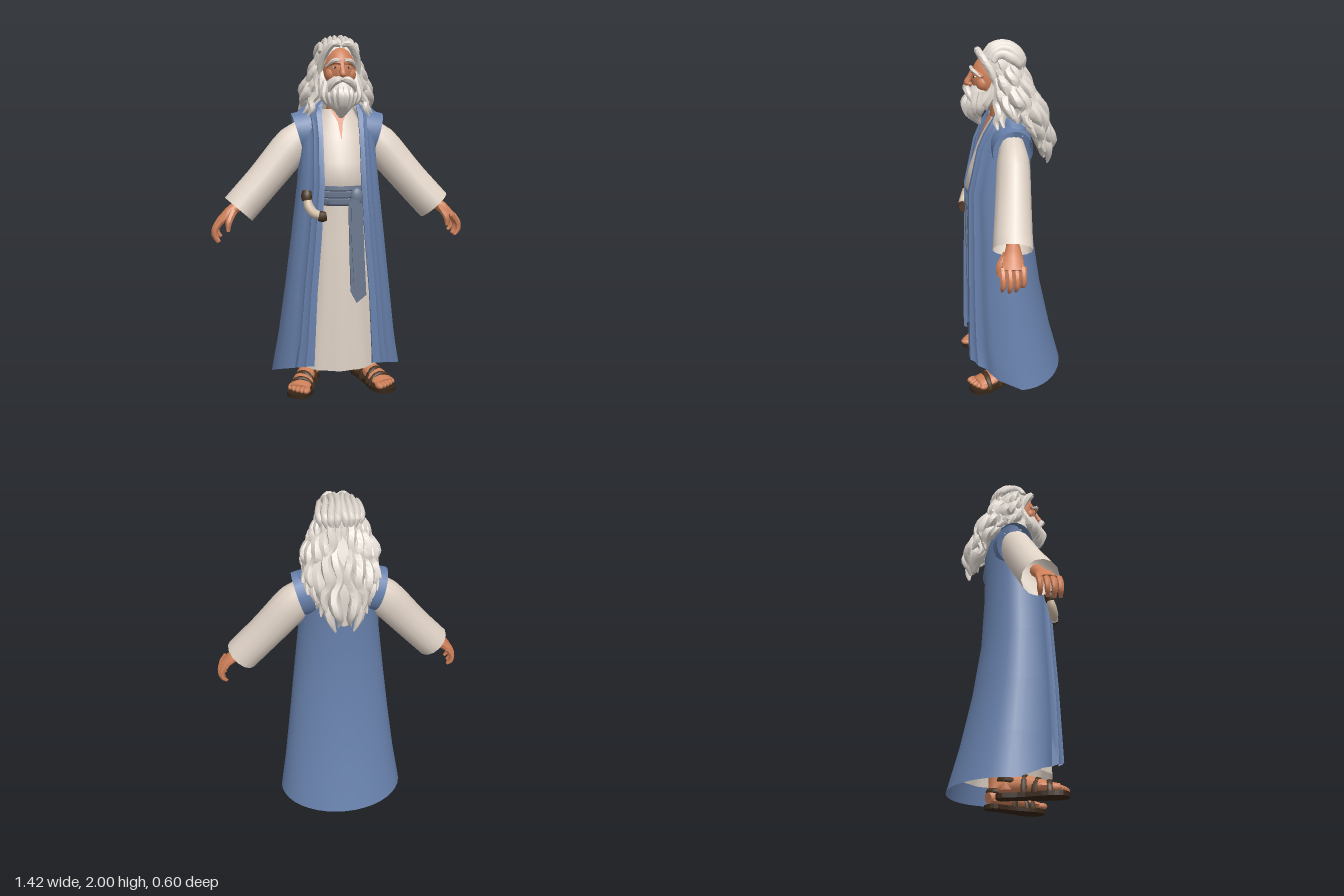
import * as THREE from 'three';
import { toCreasedNormals } from 'three/addons/utils/BufferGeometryUtils.js';

const V = (x, y, z) => new THREE.Vector3(x, y, z);
const lerp = THREE.MathUtils.lerp;
const mat = (name, color, open) => {
  const m = new THREE.MeshStandardMaterial({ color });
  m.name = name;
  if (open) m.side = THREE.DoubleSide;
  return m;
};

// Value at u (0 to 1) along an evenly spaced list
const at = (list, u) => {
  const f = u * (list.length - 1), i = Math.min(Math.floor(f), list.length - 2);
  return lerp(list[i], list[i + 1], f - i);
};

// Skin a list of rings of points
function loft(rings, closed = true, caps = false) {
  const n = rings[0].length, pos = [], idx = [];
  rings.forEach(r => r.forEach(p => pos.push(p.x, p.y, p.z)));
  for (let i = 0; i < rings.length - 1; i++)
    for (let j = 0; j < (closed ? n : n - 1); j++) {
      const k = (j + 1) % n, a = i * n + j, b = i * n + k, c = a + n, d = b + n;
      idx.push(a, b, c, b, d, c);
    }
  if (caps) [0, rings.length - 1].forEach(i => {
    const c = rings[i].reduce((s, p) => s.add(p), V(0, 0, 0)).divideScalar(n), ci = pos.length / 3;
    pos.push(c.x, c.y, c.z);
    for (let j = 0; j < n; j++) {
      const a = i * n + j, b = i * n + (j + 1) % n;
      i ? idx.push(ci, a, b) : idx.push(ci, b, a);
    }
  });
  const g = new THREE.BufferGeometry();
  g.setAttribute('position', new THREE.Float32BufferAttribute(pos, 3));
  g.setIndex(idx);
  return toCreasedNormals(g, 0.85);
}

// Tapered tube along a curve; ra and rb are the two radii at each point
function tube(pts, ra, { rb = ra, ref = V(0, 0, 1), n = 12, m = 8, caps = true } = {}) {
  const curve = new THREE.CatmullRomCurve3(pts.map(p => V(...p))), rings = [];
  for (let i = 0; i <= n; i++) {
    const u = i / n, c = curve.getPoint(u), t = curve.getTangent(u);
    const a = t.clone().cross(ref).normalize(), b = t.clone().cross(a), ring = [];
    for (let j = 0; j < m; j++) {
      const q = j / m * Math.PI * 2;
      ring.push(c.clone().addScaledVector(a, at(ra, u) * Math.cos(q)).addScaledVector(b, at(rb, u) * Math.sin(q)));
    }
    rings.push(ring);
  }
  return loft(rings, true, caps);
}

// Oval ring for body cloth: height, half width, front z, back z, fold depth
function oval([y, rx, zf, zb, fold = 0], n = 48) {
  return Array.from({ length: n }, (_, j) => {
    const q = j / n * Math.PI * 2, f = 1 + fold * Math.cos(12 * q + 0.6);
    return V(rx * f * Math.sin(q), y, (zf + zb) / 2 + (zf - zb) / 2 * f * Math.cos(q));
  });
}

// Open ring for the coat, with stepped folds in front
function coatRing([y, xi, zf, xo, zb], hem) {
  const w = xo - xi, s = w / 0.22, half = [];
  [[0, .022], [0, 0], [.22, .006], [.26, .03], [.42, .046], [.46, .088], [.62, .11], [.86, .155]]
    .forEach(([u, d]) => half.push([xi + u * w, zf - d * s]));
  for (let k = 0; k <= 10; k++) {
    const q = k / 10 * Math.PI / 2, zc = lerp(zf, zb, 0.5);
    half.push([xo * Math.cos(q), zc + (zb - zc) * Math.sin(q)]);
  }
  const all = [...half, ...half.slice(0, -1).reverse().map(([x, z]) => [-x, z])];
  return all.map(([x, z]) => V(x, hem ? 0.06 + 0.44 * Math.max(0, z) : y, z));
}

export function createModel() {
  const root = new THREE.Group();
  root.name = 'robedElder';
  const blue = mat('coatBlue', 0x6780ab, true), cream = mat('tunicCream', 0xdfd2c6, true);
  const hair = mat('hairGrey', 0xdfd7cf), skin = mat('skin', 0xce8059), sash = mat('sashBlueGrey', 0x6b788f);
  const leather = mat('darkLeather', 0x47321f), sole = mat('sole', 0x362517), horn = mat('hornIvory', 0xd3c0a8);
  const dark = mat('pupilDark', 0x2a1a14);
  const add = (name, geo, m, parent = root) => {
    const o = new THREE.Mesh(geo, m);
    o.name = name;
    parent.add(o);
    return o;
  };
  const ball = (name, m, [x, y, z], [a, b, c], parent = root, n = 16) => {
    const o = add(name, new THREE.SphereGeometry(1, n, Math.round(n * 0.7)), m, parent);
    o.position.set(x, y, z);
    o.scale.set(a, b, c);
    return o;
  };

  // Tunic, coat and belt
  add('tunic', loft([[.14, .265, .268, -.215, .018], [.35, .235, .264, -.16, .016], [.6, .2, .258, -.11, .014],
    [.9, .175, .245, -.07, .012], [1.08, .165, .235, -.06], [1.15, .165, .235, -.06], [1.2, .175, .268, -.07, .006],
    [1.31, .175, .242, -.07, .006], [1.45, .165, .19, -.06], [1.53, .125, .15, -.04], [1.6, .085, .12, -.01]].map(r => oval(r))), cream);
  add('coat', loft([[.06, .165, .287, .385, -.29], [.3, .16, .286, .345, -.225], [.6, .145, .281, .305, -.16],
    [.9, .12, .272, .268, -.115], [1.2, .1, .264, .232, -.1], [1.45, .1, .207, .212, -.1], [1.53, .1, .172, .222, -.1],
    [1.575, .1, .145, .235, -.09], [1.615, .095, .118, .19, -.06], [1.645, .085, .1, .1, -.02]]
    .map((r, i) => coatRing(r, i === 0)), false), blue);
  add('belt', loft([[1.08, .17, .245], [1.09, .174, .259], [1.118, .174, .261], [1.123, .17, .254], [1.13, .176, .265],
    [1.157, .176, .267], [1.162, .17, .256], [1.168, .174, .266], [1.19, .173, .264], [1.196, .165, .245]]
    .map(([y, x, z]) => oval([y, x, z, -.07]))), sash);
  ball('beltKnot', sash, [.075, 1.13, .258], [.036, .05, .022]);
  const tail = (name, pts, z, d) => {
    const shape = new THREE.Shape(pts.map(p => new THREE.Vector2(...p)));
    add(name, new THREE.ExtrudeGeometry(shape, { depth: d, bevelEnabled: false }), sash).position.z = z;
  };
  tail('sashTailBack', [[.028, 1.1], [.042, .6], [.075, .535], [.13, .58], [.118, .8], [.105, 1.1]], .256, .014);
  tail('sashTailFront', [[.04, 1.12], [.045, .9], [.06, .62], [.09, .6], [.085, .85], [.085, 1.12]], .268, .01);
  const slit = new THREE.BufferGeometry();
  slit.setAttribute('position', new THREE.Float32BufferAttribute(
    [-.05, 1.6, .124, -.014, 1.53, .16, 0, 1.43, .204, .014, 1.53, .16, .05, 1.6, .124], 3));
  slit.setIndex([0, 1, 4, 1, 3, 4, 1, 2, 3]);
  slit.computeVertexNormals();
  add('neckOpening', slit, skin);
  add('neck', tube([[0, 1.52, .05], [0, 1.62, .06], [0, 1.76, .08]], [.07, .062, .06]), skin);

  // Horn at the right hip
  add('horn', tube([[-.195, 1.14, .237], [-.187, 1.085, .252], [-.157, 1.045, .27], [-.11, 1.033, .277]], [.021, .026, .026, .021]), horn);
  add('hornTopCap', tube([[-.194, 1.115, .24], [-.197, 1.14, .235], [-.194, 1.165, .228]], [.027, .03, .024], { n: 5 }), leather);
  add('hornEndCap', tube([[-.135, 1.034, .275], [-.115, 1.03, .278], [-.095, 1.032, .278]], [.027, .03, .024], { n: 5 }), leather);

  for (const s of [1, -1]) {
    const side = s > 0 ? 'left' : 'right';
    const S = pts => pts.map(([x, y, z]) => [s * x, y, z]);

    // Sleeve, coat shoulder and hand
    add(side + 'Sleeve', tube(S([[.15, 1.5, .028], [.25, 1.4, .035], [.41, 1.215, .06], [.56, 1.05, .085]]),
      [.07, .108, .1, .1], { rb: [.06, .088, .095, .103], m: 14, n: 10, caps: false }), cream);
    const capRings = [[.14, 0, 1.475, .13, .112], [.2, .02, 1.46, .125, .11], [.225, .035, 1.455, .12, .107]].map(([x, dx, y, h, d]) =>
      Array.from({ length: 21 }, (_, j) => {
        const q = (j / 20 - 0.5) * Math.PI * 1.7;
        return V(s * (x + dx * Math.cos(q)), y + h * Math.cos(q), .03 + d * Math.sin(q));
      }));
    add(side + 'CoatShoulder', loft(capRings, false), blue);
    add(side + 'Palm', tube(S([[.5, 1.125, .08], [.56, 1.075, .085], [.61, 1.035, .092], [.668, .985, .1]]),
      [.034, .032, .032, .022], { rb: [.036, .034, .05, .058], m: 10 }), skin);
    for (let i = 0; i < 4; i++) {
      const z = .05 + .034 * i, d = [.018, .004, 0, .008][i];
      add(side + 'Finger', tube(S([[.655, 1, z], [.69 - d / 2, .955, z], [.697 - d, .915, z], [.677 - d, .875 + d, z + .004]]),
        [.019, .017, .015, .009], { m: 7 }), skin);
    }
    add(side + 'Thumb', tube(S([[.59, 1.045, .12], [.615, .99, .16], [.62, .94, .165]]), [.022, .018, .01], { m: 7 }), skin);

    // Foot with sandal
    const foot = new THREE.Group();
    foot.name = side + 'Foot';
    foot.position.set(s * .153, 0, 0);
    foot.rotation.y = s * .38;
    foot.scale.set(1.16, 1, 1.1);
    root.add(foot);
    const outline = new THREE.Shape();
    outline.moveTo(0, -.058);
    outline.splineThru([[.04, -.035], [.042, .07], [.062, .2], [.045, .265], [0, .282], [-.05, .26], [-.062, .19], [-.042, .07], [-.04, -.035], [0, -.058]]
      .map(p => new THREE.Vector2(...p)));
    const soleGeo = new THREE.ExtrudeGeometry(outline, { depth: .024, bevelEnabled: false, curveSegments: 3 });
    soleGeo.rotateX(Math.PI / 2).translate(0, .024, 0);
    add('sole', soleGeo, sole, foot);
    add('footBody', tube([[0, .058, -.045], [0, .07, .01], [0, .067, .09], [0, .052, .17], [0, .045, .24]],
      [.03, .04, .046, .054, .052], { rb: [.03, .05, .048, .034, .022], ref: V(0, 1, 0), m: 10 }), skin, foot);
    add('ankle', tube([[0, .04, 0], [0, .14, 0], [0, .34, .01]], [.042, .036, .05]), skin, foot);
    for (let i = 0; i < 5; i++)
      ball('toe', skin, [s * (-.044 + i * .022), .041, .25 - i * i * .0018], [i ? .0135 : .018, .018, .03], foot, 8);
    [[.08, .05, 1.85, 0], [.14, .055, 1.4, .22], [.19, .058, 1.12, -.15]].forEach(([z, r, h, turn]) => {
      const o = add('strap', new THREE.TorusGeometry(r, .008, 6, 14, Math.PI), leather, foot);
      o.position.set(0, .018, z);
      o.scale.set(1, h, 1.9);
      o.rotation.y = turn * s;
    });
    const ankleStrap = add('ankleStrap', new THREE.TorusGeometry(.043, .008, 6, 18), leather, foot);
    ankleStrap.position.set(0, .09, 0);
    ankleStrap.rotation.x = Math.PI / 2 + .2;
    ankleStrap.scale.z = 1.8;

    // Face details
    ball('cheek', skin, [s * .046, 1.785, .165], [.038, .042, .034]);
    ball('eye', hair, [s * .036, 1.82, .2], [.014, .006, .012], root, 10);
    ball('pupil', dark, [s * .036, 1.82, .206], [.007, .0065, .008], root, 8);
    add('browRidge', tube(S([[.008, 1.843, .212], [.04, 1.847, .205], [.078, 1.825, .165]]), [.012, .013, .008], { m: 7 }), skin);
    ball('nostril', skin, [s * .014, 1.778, .23], [.013, .011, .014], root, 10);
    add('eyebrow', tube(S([[.012, 1.858, .22], [.045, 1.855, .216], [.08, 1.825, .178]]), [.008, .011, .005], { m: 6 }), hair);
    add('moustache', tube(S([[.001, 1.757, .24], [.03, 1.752, .247], [.058, 1.728, .238], [.074, 1.685, .222]]), [.014, .021, .018, .004], { m: 7 }), hair);
    add('sideburn', tube(S([[.09, 1.82, .1], [.09, 1.75, .118], [.082, 1.69, .16], [.055, 1.63, .2]]), [.014, .028, .037, .015], { m: 7 }), hair);

    // Beard locks
    for (let i = 0; i < 4; i++) {
      const x = .012 + i * .024;
      add('beardLock', tube(S([[x, 1.725 + i * .008, .23 - i * .018], [x * 1.1, 1.675, .258 - i * .024],
        [x * .95, 1.62 + i * .008, .242 - i * .018], [x * .55 + .004, 1.557 + i * .017, .185]]), [.016, .026, .022, .003], { m: 6 }), hair);
    }

    // Wavy locks swept down the sides and back, in two layers
    for (let layer = 0; layer < 2; layer++)
      for (let k = 0; k < 7; k++) {
        const a = (k + layer * .5) / 7, q = lerp(-.4, 1.5, a), e = a ** 1.6;
        const yEnd = lerp(1.57, 1.265, e) + layer * .06 + (k % 2) * .025;
        const front = [.03, .075, .088, .098, .112, .135, .162, .2], back = [.03, .07, .088, .115, .145, .178, .2, .18];
        const drop = [0, .1, .24, .38, .52, .67, .83, 1], pts = [];
        for (let i = 0; i < 15; i++) {
          const u = i / 14, fall = Math.min(1, u * 2), ph = u * 19 + k * 2.3 + layer * 1.6;
          const r = lerp(at(front, u), at(back, u), e) + (layer * .008 + Math.cos(ph) * .011) * fall;
          const turn = q + Math.sin(ph) * .016 * fall / r;
          pts.push([r * Math.cos(turn), lerp(1.955, yEnd, at(drop, u)), lerp(.06, -.01, u) - r * Math.sin(turn)]);
        }
        add('hairLock', tube(S(pts), [.018, .032, .037, .043, .047, .042, .006],
          { ref: V(s * Math.sin(q), 0, Math.cos(q)), rb: [.016, .026, .03, .034, .036, .034, .005], n: 28, m: 7 }), hair);
      }
    // Strands combed back over the crown
    for (let k = 0; k < 4; k++) {
      const pts = Array.from({ length: 7 }, (_, i) => {
        const x = .016 + k * .029 + Math.sin(i * 1.4 + k) * .006, c = .95 * Math.sqrt(1 - (x / .135) ** 2), t = .62 + i * .43;
        return [x, 1.86 + .123 * c * Math.sin(t), .055 + .12 * c * Math.cos(t)];
      });
      add('crownStrand', tube(S(pts), [.014, .024, .026, .027, .026, .024, .008],
        { rb: [.012, .015, .014, .016, .022, .024, .008], ref: V(1, 0, 0), n: 18 }), hair);
    }
    add('forelock', tube(S([[.004, 1.937, .178], [.04, 1.945, .18], [.078, 1.905, .155], [.1, 1.84, .118], [.108, 1.76, .1]]),
      [.012, .02, .022, .022, .008], { m: 7 }), hair);
    add('templeCurl', tube(S([[.102, 1.82, .1], [.118, 1.75, .09], [.115, 1.69, .1], [.15, 1.64, .095], [.148, 1.6, .11], [.175, 1.555, .1]]),
      [.02, .026, .024, .021, .018, .004], { m: 7, n: 18 }), hair);
  }

  // Head, nose and the masses under the locks
  ball('head', skin, [0, 1.81, .105], [.09, .13, .115], root, 24);
  add('nose', tube([[0, 1.85, .212], [0, 1.815, .228], [0, 1.782, .243], [0, 1.768, .23]], [.012, .014, .019, .008], { ref: V(1, 0, 0) }), skin);
  ball('hairCap', hair, [0, 1.86, .055], [.12, .124, .12], root, 24);
  add('hairBack', tube([[0, 1.88, 0], [0, 1.7, -.06], [0, 1.55, -.13], [0, 1.36, -.175]], [.09, .125, .14, .02],
    { rb: [.05, .07, .06, .012], m: 14 }), hair);
  add('beard', tube([[0, 1.745, .15], [0, 1.69, .192], [0, 1.62, .205], [0, 1.555, .18]], [.075, .086, .064, .01],
    { rb: [.07, .066, .05, .008], m: 12 }), hair);
  return root;
}
